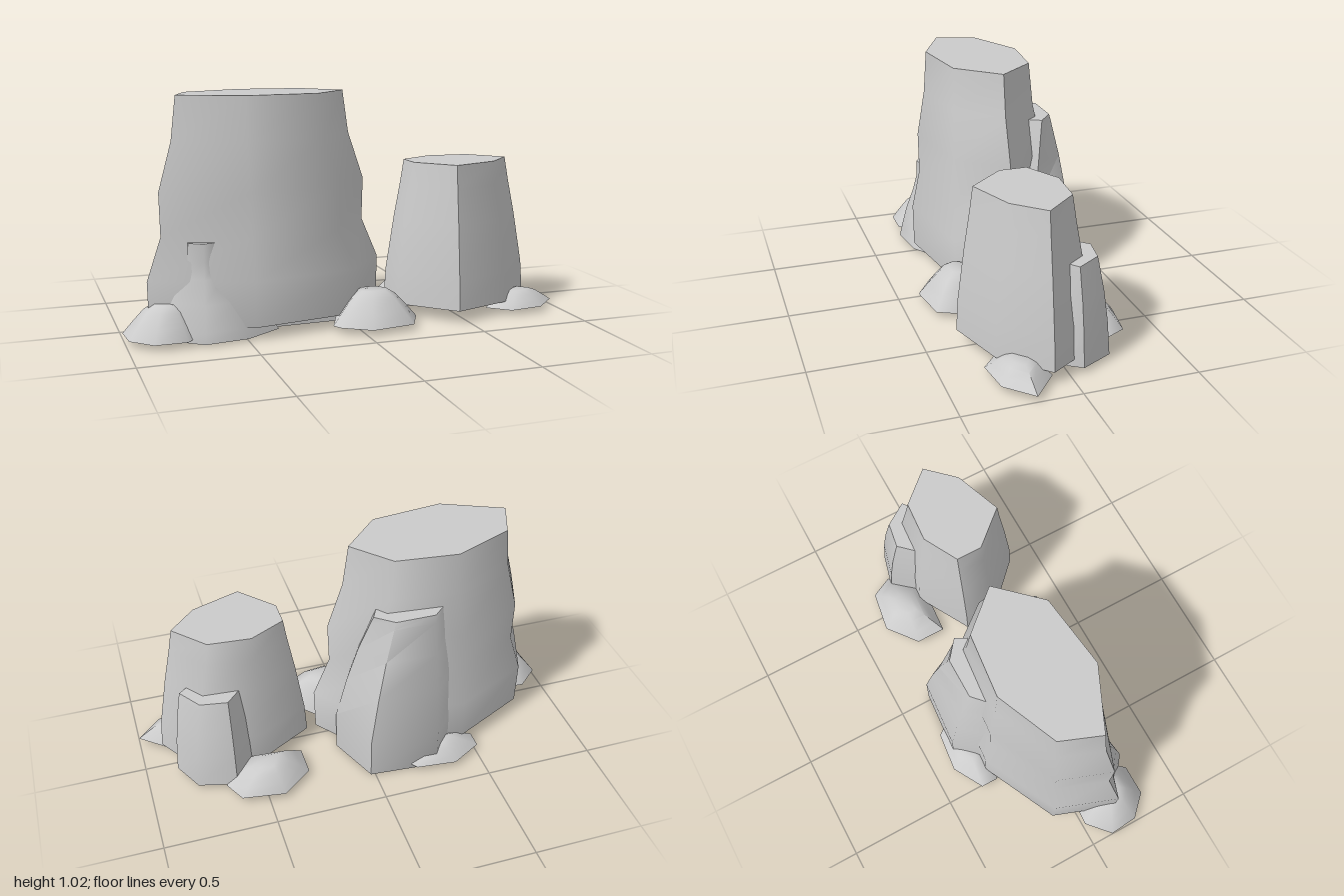
import * as THREE from 'three';
import { toCreasedNormals } from 'three/addons/utils/BufferGeometryUtils.js';

const material = new THREE.MeshStandardMaterial({ color: 0xcccccc, roughness: 0.9 });

// Lofts a rock from a base outline to a top outline, both [x, z] lists running
// left, back, right, front. Each level is [height, blend from base to top].
function loft(name, base, top, levels, crease = 0.95) {
  const n = base.length;
  const pos = [];
  const index = [];
  for (const [y, t] of levels) {
    base.forEach(([x, z], i) => {
      pos.push(x + (top[i][0] - x) * t, y, z + (top[i][1] - z) * t);
    });
  }
  const last = (levels.length - 1) * n;
  for (let k = 0; k < last; k += n) {
    for (let i = 0; i < n; i++) {
      const j = (i + 1) % n;
      index.push(k + i, k + n + i, k + j, k + j, k + n + i, k + n + j);
    }
  }
  // flat caps
  for (let i = 1; i < n - 1; i++) {
    index.push(0, i, i + 1, last, last + i + 1, last + i);
  }
  const geometry = new THREE.BufferGeometry();
  geometry.setAttribute('position', new THREE.Float32BufferAttribute(pos, 3));
  geometry.setIndex(index);
  const mesh = new THREE.Mesh(toCreasedNormals(geometry, crease), material);
  mesh.name = name;
  return mesh;
}

// Low domed stone lying at the foot of the big rocks
function pebble(name, outline, [px, pz], height) {
  const y0 = 0.03;
  const h = height - y0;
  const peak = outline.map(() => [px, pz]);
  return loft(name, outline, peak,
    [[y0, 0], [y0 + h * 0.38, 0.22], [y0 + h * 0.8, 0.48], [height, 0.7]], 1.0);
}

export function createModel() {
  const group = new THREE.Group();
  group.name = 'rockCluster';

  group.add(
    // tall broad boulder
    loft('mainBoulder',
      [[-0.9, 0.165], [-0.8, -0.11], [-0.45, -0.28], [0, -0.25], [0.19, 0], [0, 0.23], [-0.47, 0.31]],
      [[-0.75, 0.095], [-0.68, -0.085], [-0.41, -0.2], [-0.13, -0.17], [0.02, 0], [-0.15, 0.18], [-0.48, 0.22]],
      [[0.06, 0.03], [0.26, 0], [0.44, 0.45], [0.63, 0.42], [0.84, 0.84], [1.03, 1]]),

    // slab leaning on its back
    loft('backSlab',
      [[-0.54, -0.1], [-0.29, -0.37], [0.02, -0.345], [0.115, -0.11], [-0.02, 0.13], [-0.4, 0.14]],
      [[-0.37, -0.19], [-0.29, -0.265], [-0.11, -0.265], [-0.03, -0.2], [-0.08, -0.105], [-0.28, -0.105]],
      [[0.005, 0], [0.2, 0], [0.42, 0.3], [0.6, 0.6], [0.75, 0.92], [0.785, 1]]),

    // narrow spur against its front
    loft('frontSpur',
      [[-0.86, 0.2], [-0.75, 0.05], [-0.45, 0.05], [-0.34, 0.2], [-0.5, 0.305], [-0.69, 0.33]],
      [[-0.73, 0.2], [-0.72, 0.12], [-0.63, 0.12], [-0.61, 0.19], [-0.62, 0.22], [-0.67, 0.235]],
      [[0.015, 0], [0.06, 0.1], [0.17, 0.4], [0.27, 0.78], [0.34, 0.97], [0.42, 1]]),

    // second, shorter boulder
    loft('sideBoulder',
      [[0.23, -0.01], [0.48, -0.15], [0.77, -0.13], [0.905, 0.085], [0.72, 0.27], [0.45, 0.355], [0.235, 0.14]],
      [[0.32, 0], [0.48, -0.085], [0.67, -0.07], [0.8, 0.075], [0.68, 0.2], [0.46, 0.28], [0.32, 0.12]],
      [[0.06, 0], [0.2, 0.1], [0.44, 0.5], [0.6, 0.82], [0.705, 1]]),

    // slab behind the second boulder
    loft('sideSlab',
      [[0.48, -0.1], [0.62, -0.245], [0.79, -0.2], [0.86, -0.06], [0.82, 0], [0.55, 0]],
      [[0.53, -0.08], [0.62, -0.175], [0.74, -0.155], [0.81, -0.05], [0.76, -0.01], [0.58, -0.01]],
      [[0.028, 0], [0.18, 0.2], [0.31, 0.5], [0.43, 0.9], [0.455, 1]]),

    // loose stones
    pebble('leftStone',
      [[-1, 0.1], [-0.9, 0.01], [-0.75, 0.02], [-0.66, 0.2], [-0.76, 0.32], [-0.9, 0.32], [-0.99, 0.23]],
      [-0.82, 0.17], 0.165),
    pebble('frontStone',
      [[-0.12, 0.29], [-0.05, 0.12], [0.16, 0.11], [0.285, 0.25], [0.22, 0.38], [0.02, 0.41], [-0.1, 0.33]],
      [0.08, 0.23], 0.168),
    pebble('rightStone',
      [[0.64, 0.24], [0.72, 0.11], [0.87, 0.08], [1, 0.19], [0.89, 0.3], [0.73, 0.32]],
      [0.82, 0.2], 0.098),
    pebble('sideBackStone',
      [[0.29, -0.12], [0.29, -0.26], [0.43, -0.37], [0.62, -0.34], [0.67, -0.24], [0.57, -0.1]],
      [0.47, -0.24], 0.125),
    pebble('backStone',
      [[-0.51, -0.25], [-0.51, -0.33], [-0.37, -0.41], [-0.19, -0.39], [-0.13, -0.31], [-0.23, -0.2]],
      [-0.32, -0.31], 0.1),
  );
  return group;
}
